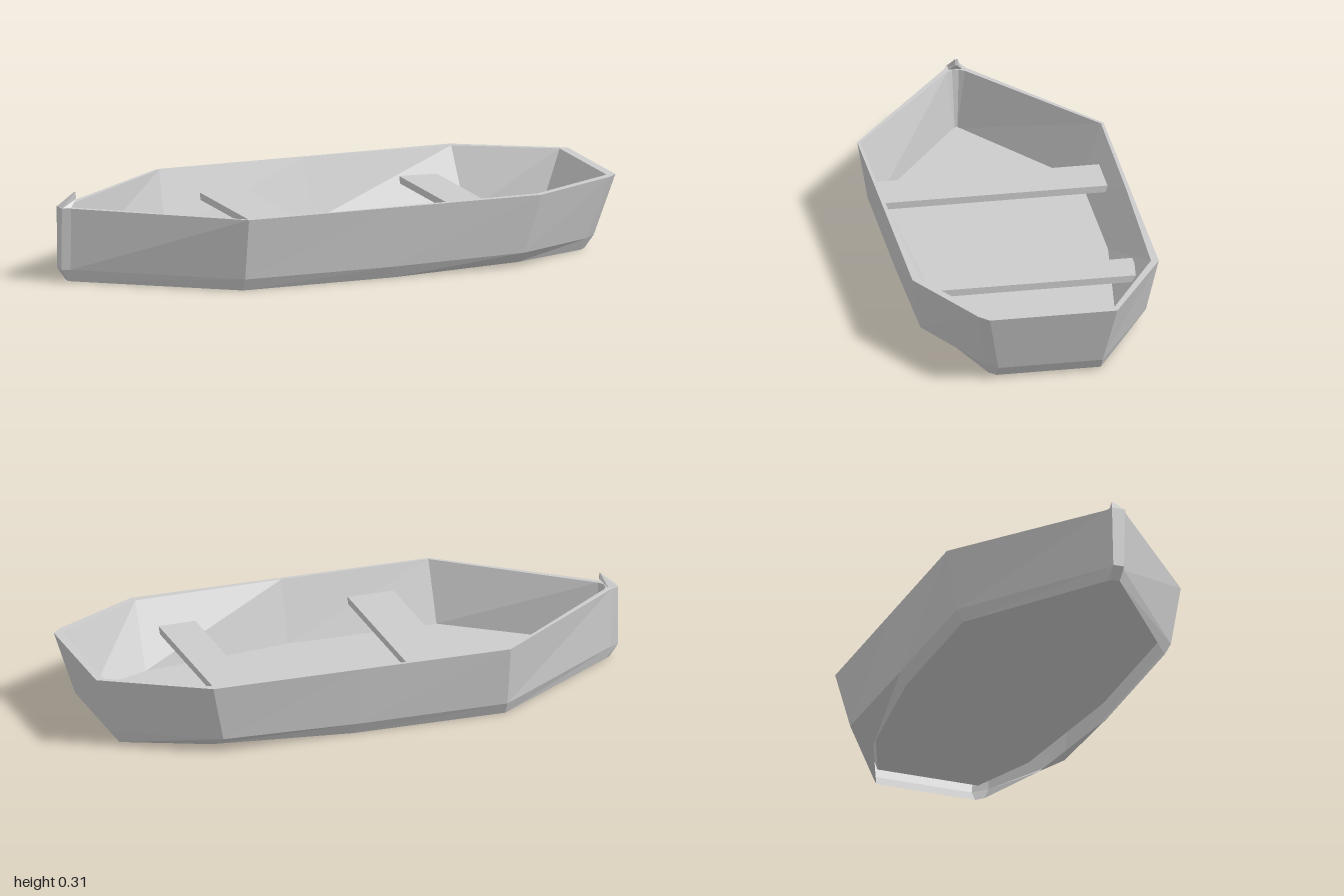
import * as THREE from 'three';

const material = new THREE.MeshStandardMaterial({
  color: 0xcccccc, flatShading: true, side: THREE.DoubleSide,
});

// Each ring: height, [x, half width, own height if different] stations from bow
// to stern, and the bevel point that only the near stern corner has
const RINGS = [
  { y: 0, bevel: [0.875, 0.21],                                                        // open lower edge
    pts: [[-0.97, 0.015], [-0.95, 0.03], [-0.46, 0.377], [0.1, 0.377], [0.6, 0.31], [0.9, 0.185]] },
  { y: 0.044, bevel: [0.89, 0.23],                                                     // chine
    pts: [[-1, 0.02], [-0.97, 0.032], [-0.46, 0.4], [0.09, 0.402], [0.59, 0.4, 0.053], [0.935, 0.185]] },
  { y: 0.264, bevel: [0.965, 0.26],                                                    // outer rim
    pts: [[-1, 0.025], [-0.97, 0.038], [-0.46, 0.437], [0.09, 0.437], [0.64, 0.437], [1, 0.226]] },
  { y: 0.264, bevel: [0.945, 0.236],                                                   // inner rim
    pts: [[-0.958, 0.012], [-0.945, 0.032], [-0.455, 0.427], [0.09, 0.423], [0.635, 0.41], [0.968, 0.222]] },
  { y: 0.047, bevel: [0.86, 0.196],                                                    // floor edge
    pts: [[-0.945, 0.005], [-0.935, 0.013], [-0.46, 0.355], [0.09, 0.355], [0.64, 0.285], [0.88, 0.188]] },
];

// Skin closed rings one after another and cap the last; the first stays open
function loft(name, rings) {
  const n = rings[0].length, last = (rings.length - 1) * n, indices = [];
  for (let r = 0; r < rings.length - 1; r++) {
    for (let i = 0; i < n; i++) {
      const a = r * n + i, b = r * n + (i + 1) % n;
      indices.push(a, b, b + n, a, b + n, a + n);
    }
  }
  for (let i = 1; i < n - 1; i++) indices.push(last, last + i, last + i + 1);

  const indexed = new THREE.BufferGeometry();
  indexed.setAttribute('position', new THREE.Float32BufferAttribute(rings.flat(2), 3));
  indexed.setIndex(indices);
  const geometry = indexed.toNonIndexed();
  geometry.computeVertexNormals();
  const mesh = new THREE.Mesh(geometry, material);
  mesh.name = name;
  return mesh;
}

// Mirror a half outline into a loop, counter-clockwise from above
function hullRing({ y, pts, bevel }) {
  const near = [...pts.slice(0, -1), bevel, pts.at(-1)];
  return [
    ...near.map(([x, z, h = y]) => [x, h, z]),
    ...pts.map(([x, z, h = y]) => [x, h, -z]).reverse(),
  ];
}

function rectRing(x0, x1, halfZ, y0, y1 = y0) {
  return [[x0, y0, halfZ], [x1, y1, halfZ], [x1, y1, -halfZ], [x0, y0, -halfZ]];
}

export function createModel() {
  const boat = new THREE.Group();
  boat.name = 'rowingBoat';

  // Shell with raised floor, hollow underneath
  boat.add(loft('hull', RINGS.map(hullRing)));

  // Seats across the hull
  for (const [name, x, width, z, length] of [
    ['bowSeat', -0.23, 0.17, 0, 0.79],
    ['sternSeat', 0.497, 0.137, -0.008, 0.745],
  ]) {
    const seat = new THREE.Mesh(new THREE.BoxGeometry(width, 0.025, length), material);
    seat.position.set(x, 0.164, z);
    seat.name = name;
    boat.add(seat);
  }

  // Small pointed stem leaning back over the bow
  boat.add(loft('prowTip', [
    rectRing(-1, -0.965, 0.024, 0.262),
    rectRing(-0.941, -0.939, 0.005, 0.314, 0.29),
  ]));

  return boat;
}
